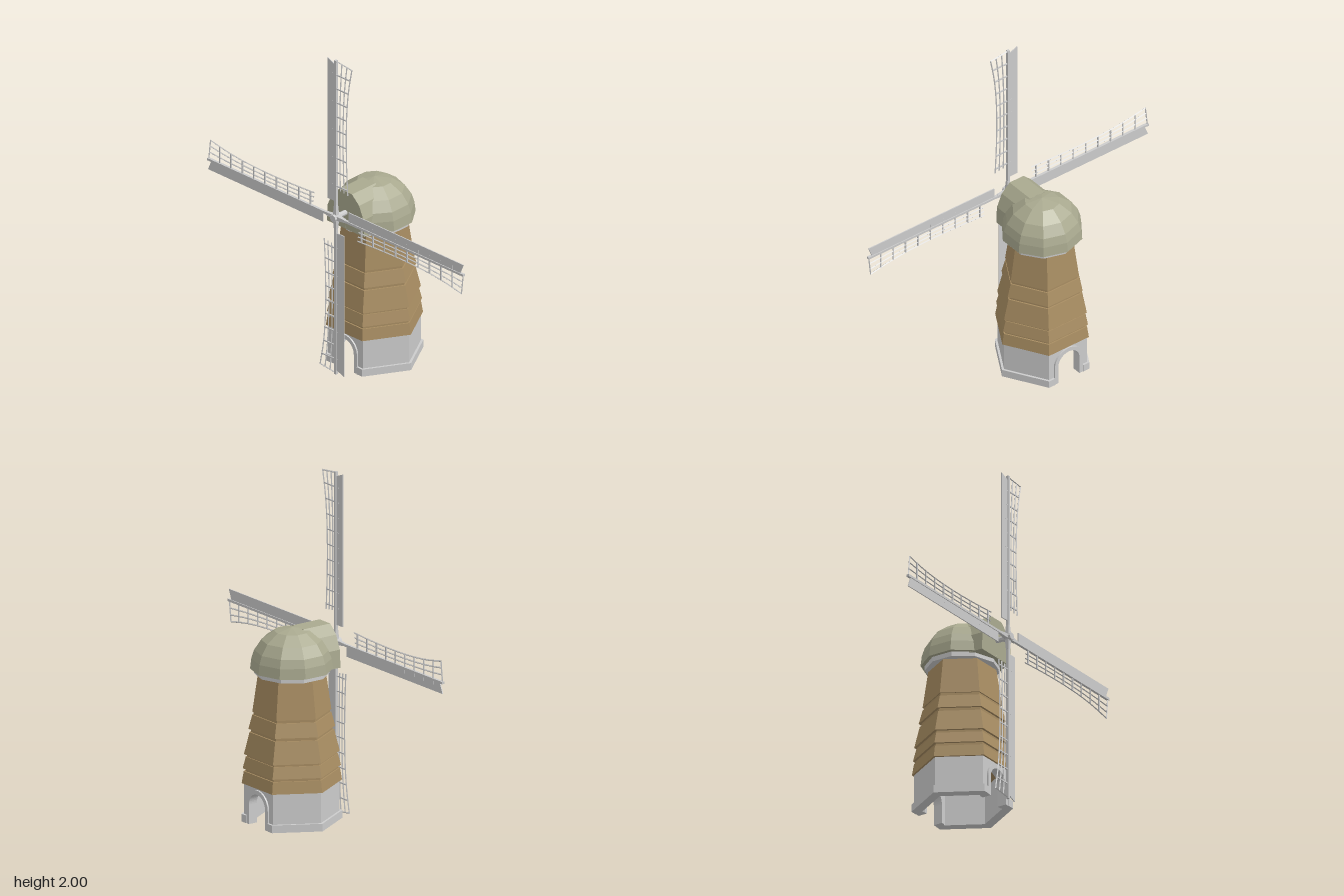
import * as THREE from 'three';

const mat = (color) => new THREE.MeshStandardMaterial({ color, flatShading: true, side: THREE.DoubleSide });
const grey = mat(0xcccccc), wood = mat(0xa88d62), roof = mat(0xa9a98f);

function add(parent, name, geometry, material = grey) {
  const mesh = new THREE.Mesh(geometry, material);
  mesh.name = name;
  parent.add(mesh);
  return mesh;
}

const points = (list) => list.map(([a, b]) => new THREE.Vector2(a, b));
const box = (w, h, d, x, y, z) => new THREE.BoxGeometry(w, h, d).translate(x, y, z);

// Outline given in (z, y), extruded along x from x0 to x1
function sideExtrude(list, x0, x1) {
  const g = new THREE.ExtrudeGeometry(new THREE.Shape(points(list)), { depth: x1 - x0, bevelEnabled: false });
  return g.rotateY(-Math.PI / 2).translate(x1, 0, 0);
}

// Hollow hexagonal stone base with an arched doorway on two opposite faces
function stoneBase() {
  const base = new THREE.Group();
  base.name = 'stoneBase';
  const apothem = 0.235, plinth = 0.248, y0 = 0.01, y1 = 0.238, door = 0.075, spring = 0.125;
  const half = apothem * Math.tan(Math.PI / 6), plinthHalf = plinth * Math.tan(Math.PI / 6);
  for (let i = 0; i < 6; i++) {
    const side = new THREE.Group();
    side.name = 'baseSide';
    side.rotation.y = Math.PI / 6 + i * Math.PI / 3;
    base.add(side);
    const hasDoor = i % 3 === 1;
    const s = new THREE.Shape();
    s.moveTo(-half, y0);
    if (hasDoor) {
      s.lineTo(-door, y0);
      s.lineTo(-door, spring);
      s.absarc(0, spring, door, Math.PI, 0, true);
      s.lineTo(door, y0);
    }
    s.lineTo(half, y0);
    s.lineTo(half, y1);
    s.lineTo(-half, y1);
    const wall = new THREE.ExtrudeGeometry(s, { depth: 0.04, bevelEnabled: false, curveSegments: 12 });
    add(side, 'wall', wall.translate(0, 0, apothem - 0.04));
    if (!hasDoor) {
      add(side, 'plinth', box(plinthHalf * 2, 0.045, 0.05, 0, y0 + 0.0225, plinth - 0.025));
      continue;
    }
    // Raised arch around the doorway, with the plinth broken on either side
    const w = plinthHalf - 0.1;
    for (const m of [-1, 1])
      add(side, 'plinth', box(w, 0.045, 0.05, m * (0.1 + w / 2), y0 + 0.0225, plinth - 0.025));
    const a = new THREE.Shape();
    a.moveTo(-0.1, y0);
    a.lineTo(-door, y0);
    a.lineTo(-door, spring);
    a.absarc(0, spring, door, Math.PI, 0, true);
    a.lineTo(door, y0);
    a.lineTo(0.1, y0);
    a.lineTo(0.1, spring);
    a.absarc(0, spring, 0.1, 0, Math.PI, false);
    const arch = new THREE.ExtrudeGeometry(a, { depth: 0.055, bevelEnabled: false, curveSegments: 12 });
    add(side, 'doorArch', arch.translate(0, 0, 0.19));
  }
  return base;
}

// One sail pointing up: spar, wind board on -z, curved lattice on +z
function sail() {
  const g = new THREE.Group();
  g.name = 'sail';
  add(g, 'spar', box(0.016, 1, 0.014, 0, 0.5, 0));
  add(g, 'windBoard', sideExtrude([[0, 0.1], [0, 0.97], [-0.065, 0.997], [-0.065, 0.1]], -0.003, 0.003));
  const edge = new THREE.CatmullRomCurve3(
    [[0.17, 0.092], [0.3, 0.085], [0.5, 0.08], [0.7, 0.085], [0.85, 0.1], [0.98, 0.124]]
      .map(([y, z]) => new THREE.Vector3(0, y, z)));
  for (const f of [0.37, 0.69, 1]) {
    const rail = new THREE.CatmullRomCurve3(edge.getPoints(10).map(
      (p) => new THREE.Vector3(0, p.y + (1 - f) * 0.012, p.z * f)));
    add(g, 'latticeRail', new THREE.TubeGeometry(rail, 14, 0.0045, 4));
  }
  const samples = edge.getPoints(100);
  for (let i = 0; i < 9; i++) {
    const y = 0.2 + i * 0.0885;
    const z = samples.reduce((a, b) => (Math.abs(a.y - y) < Math.abs(b.y - y) ? a : b)).z;
    add(g, 'latticeBar', box(0.007, 0.007, z + 0.03, 0, y, (z - 0.03) / 2));
  }
  const tip = new THREE.LineCurve3(new THREE.Vector3(0, 0.994, 0), new THREE.Vector3(0, 0.98, 0.124));
  add(g, 'latticeTip', new THREE.TubeGeometry(tip, 1, 0.0045, 4));
  return g;
}

export function createModel() {
  const model = new THREE.Group();
  model.name = 'windmill';
  const tower = new THREE.Group();
  tower.name = 'tower';
  tower.position.x = 0.043;
  model.add(tower);
  tower.add(stoneBase());

  // Tapered wooden tiers, each overhanging the one below: [y, apothem]
  const profile = [
    [0.235, 0], [0.235, 0.246], [0.305, 0.236], [0.305, 0.228], [0.322, 0.228],
    [0.322, 0.241], [0.39, 0.226], [0.39, 0.221], [0.405, 0.221],
    [0.405, 0.235], [0.533, 0.208], [0.533, 0.2], [0.553, 0.2],
    [0.553, 0.213], [0.635, 0.194], [0.635, 0.187], [0.652, 0.187],
    [0.652, 0.194], [0.87, 0.167], [0.89, 0.165], [0.89, 0],
  ].map(([y, a]) => [a / Math.cos(Math.PI / 6), y]);
  add(tower, 'woodenTiers', new THREE.LatheGeometry(points(profile), 6), wood);

  // Ten-sided collar and domed cap
  const round = (list) => new THREE.LatheGeometry(points(list), 10, Math.PI / 2);
  add(tower, 'collar', round([[0, 0.872], [0.212, 0.872], [0.212, 0.905], [0, 0.905]]));
  add(tower, 'dome', round([[0.19, 0.9], [0.235, 0.9], [0.228, 0.96], [0.212, 1.01],
    [0.173, 1.07], [0.1, 1.122], [0, 1.142]]), roof);

  // Hood reaching out of the dome towards the sails
  const half = [[0.145, 0.895], [0.14, 1.0], [0.105, 1.08], [0.05, 1.132]];
  const mirrored = half.map(([z, y]) => [-z, y]).reverse();
  add(model, 'hood', sideExtrude([...half, ...mirrored], -0.19, 0), roof);

  // Shaft, hub and four sails
  add(model, 'shaft', new THREE.CylinderGeometry(0.016, 0.016, 0.13, 8).rotateZ(Math.PI / 2).translate(-0.215, 1, 0));
  const rotor = new THREE.Group();
  rotor.name = 'rotor';
  rotor.position.set(-0.268, 1, 0);
  model.add(rotor);
  add(rotor, 'hub', new THREE.CylinderGeometry(0.022, 0.022, 0.055, 8).rotateZ(Math.PI / 2));
  for (let i = 0; i < 4; i++) {
    const blade = sail();
    blade.rotation.x = i * Math.PI / 2;
    add(blade, 'hubArm', new THREE.CylinderGeometry(0.012, 0.02, 0.075, 4, 1, false, Math.PI / 4).translate(0, 0.0375, 0));
    rotor.add(blade);
  }
  return model;
}
